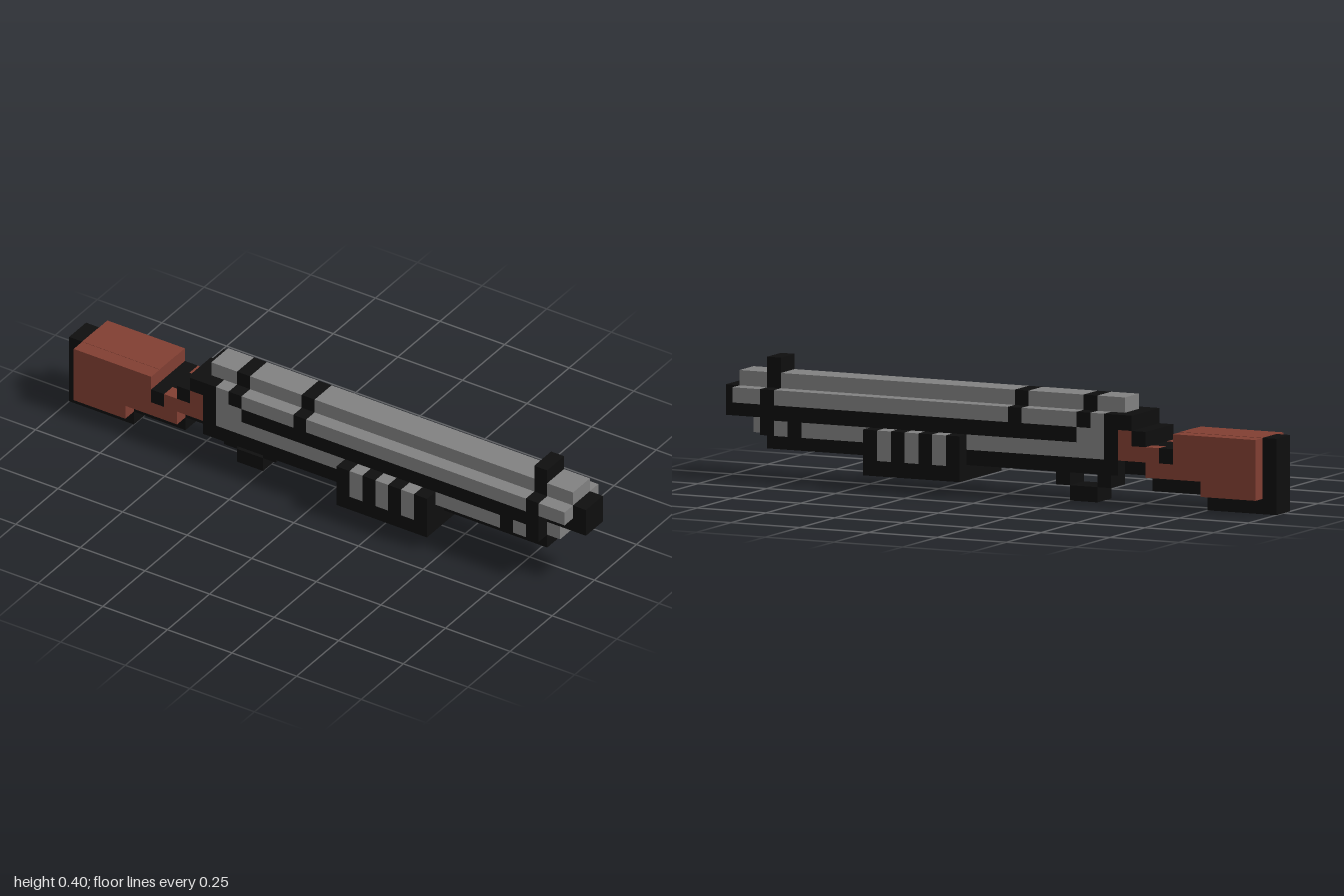
import * as THREE from 'three';

const CELL = 0.05; // all parts sit on a grid of small cubes

export function createModel() {
  const model = new THREE.Group();
  const mat = (color) => new THREE.MeshStandardMaterial({ color, flatShading: true });
  const black = mat(0x0e0e0e), grey = mat(0x808080), wood = mat(0x803e32);

  // Block from grid bounds: x0..x1, y0..y1, z0..z1
  function block(name, material, x0, x1, y0, y1, z0, z1) {
    const g = new THREE.BoxGeometry((x1 - x0) * CELL, (y1 - y0) * CELL, (z1 - z0) * CELL);
    const m = new THREE.Mesh(g, material);
    m.name = name;
    m.position.set((x0 + x1) / 2 * CELL, (y0 + y1) / 2 * CELL, (z0 + z1) / 2 * CELL);
    model.add(m);
  }
  // Block centred across the width, h cells to each side
  const mid = (name, material, x0, x1, y0, y1, h) => block(name, material, x0, x1, y0, y1, -h, h);
  // Mirrored pair of one-cell-thick side plates
  function sides(name, material, x0, x1, y0, y1) {
    block(name, material, x0, x1, y0, y1, 1, 2);
    block(name, material, x0, x1, y0, y1, -2, -1);
  }

  // Stock
  mid('buttPlate', black, -20, -19, 0, 5, 1);
  mid('stockToe', black, -19, -15, 0, 1, 1);
  mid('stockBody', wood, -19, -15, 1, 4, 2);
  mid('stockNeck', wood, -15, -13, 2, 4, 2);
  mid('stockComb', wood, -19, -13, 4, 5, 1);
  sides('stockShoulder', wood, -19, -13, 4, 4.98);
  mid('stockUnderside', black, -15, -11, 1, 2, 1);

  // Grip
  mid('gripBase', wood, -13, -11, 2, 3, 2);
  mid('gripCollar', black, -13, -12, 3, 4, 2);
  mid('gripCore', black, -12, -9, 3, 4, 1);
  sides('gripSide', wood, -12, -9, 3, 4);
  mid('gripUnderside', black, -11, -9, 2, 3, 1);
  mid('hammer', black, -11, -10, 4, 5, 2);
  mid('tangCore', black, -10, -9, 4, 5, 1);
  sides('tangSide', wood, -10, -9, 4, 5);
  mid('receiverTop', black, -10, -8, 5, 6, 2);

  // Receiver
  mid('receiverBack', black, -9, -8, 3, 5, 2);
  mid('receiverBase', black, -9, 2, 2, 3, 2);
  mid('receiverSide', grey, -8, 2, 3, 4, 2);
  mid('receiverCorner', grey, -8, -6, 4, 5, 2);

  // Trigger guard
  mid('guardBack', black, -8, -7, 1, 2, 1);
  mid('guardBottom', black, -7, -5, 0, 1, 1);
  mid('guardFront', black, -5, -4, 1, 2, 1);

  // Barrel: wide lower layer, narrow ridge above, split by dark bands
  mid('barrelRail', black, -6, 17, 4, 5, 2);
  mid('barrelTipCore', black, 17, 20, 4, 5, 1);
  mid('muzzle', black, 19, 20, 5, 6, 1);
  for (const [a, b] of [[-8, -7], [-6, -2], [-1, 16], [17, 19]]) {
    mid('barrel', grey, a, b, 5, 6, 2);
    mid('barrelRidge', grey, a === -8 ? -9 : a, b, 6, 7, 1);
  }
  for (const x of [-7, -2, 16]) {
    mid('barrelBand', black, x, x + 1, 5, 6, 2);
    mid('barrelBandTop', black, x, x + 1, 6, x === 16 ? 8 : 7, 1);
  }

  // Pump handle with alternating ribs
  mid('pumpBase', black, 2, 9, 1, 2, 3);
  for (let i = 0; i < 7; i++) mid('pumpRib', i % 2 ? grey : black, 2 + i, 3 + i, 2, 4, 3);

  // Magazine tube ahead of the pump
  mid('tubeUnderside', black, 9, 17, 2, 3, 1);
  mid('tube', grey, 9, 14, 3, 4, 2);
  mid('tubeRing', black, 14, 15, 3, 4, 2);
  mid('tube', grey, 15, 16, 3, 4, 2);
  mid('tubeRing', black, 16, 17, 3, 4, 2);
  mid('tubeCap', grey, 17, 18, 3, 4, 1);

  return model;
}
